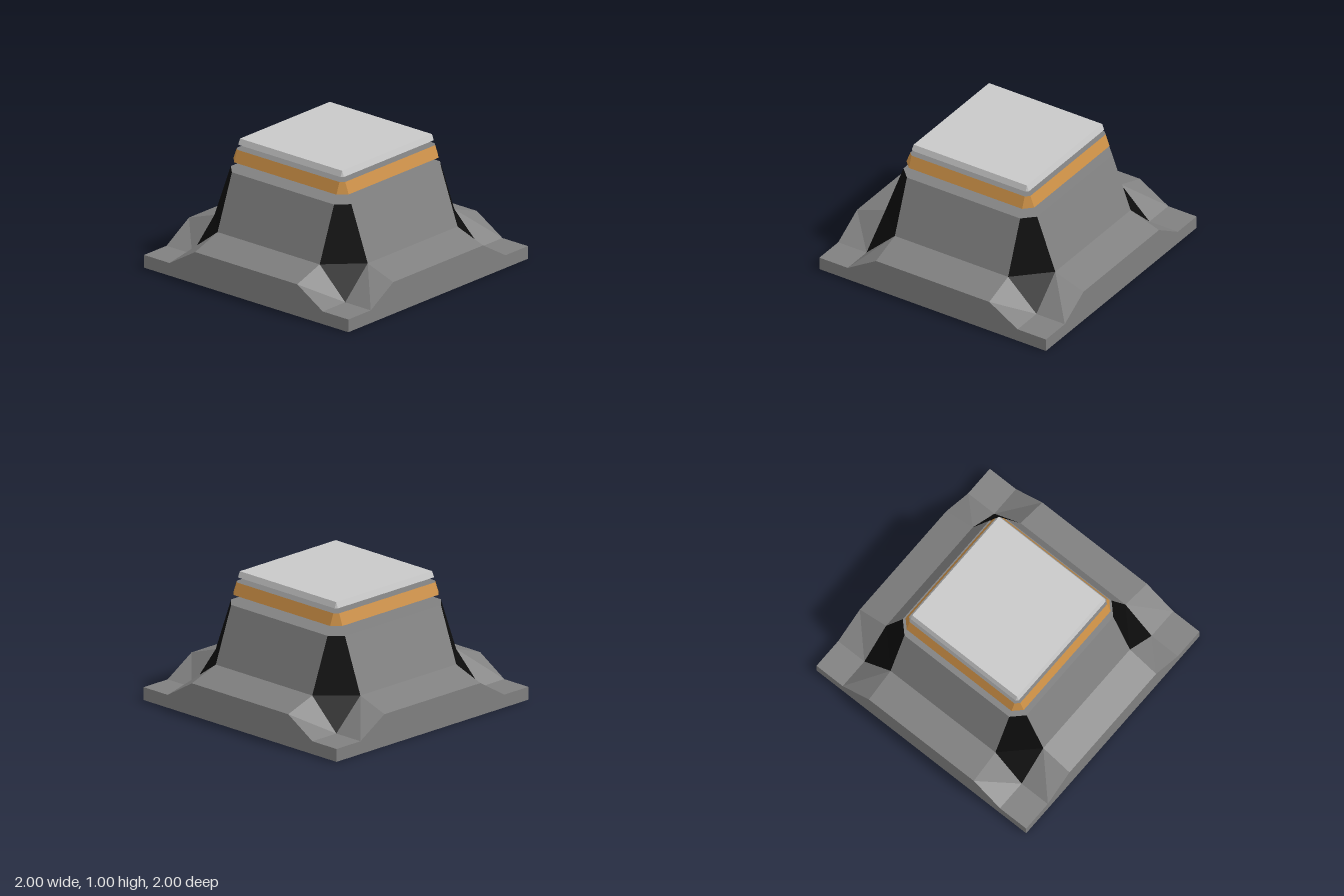
import * as THREE from 'three';

const material = (name, color) => {
  const m = new THREE.MeshStandardMaterial({ color, flatShading: true });
  m.name = name;
  return m;
};

// Half-width of the tapering tower at height y; it narrows to 0.5 at the top
const taper = (y) => 0.5 + (1 - y) * 0.376;

// Repeats one quarter's convex faces four times around the y axis
function fourSided(name, faces, mat) {
  const pos = [];
  for (let turn = 0; turn < 4; turn++) {
    const spin = ([x, y, z]) => {
      for (let i = 0; i < turn; i++) [x, z] = [z, -x];
      return [x, y, z];
    };
    for (const face of faces) {
      const p = face.map(spin);
      for (let i = 1; i < p.length - 1; i++) pos.push(...p[0], ...p[i], ...p[i + 1]);
    }
  }
  const geometry = new THREE.BufferGeometry();
  geometry.setAttribute('position', new THREE.Float32BufferAttribute(pos, 3));
  geometry.computeVertexNormals();
  const mesh = new THREE.Mesh(geometry, mat);
  mesh.name = name;
  return mesh;
}

// One quarter of a horizontal chamfered square
function capFaces(y, up) {
  const h = taper(y), c = [0, y, 0];
  const l = [-0.5, y, h], r = [0.5, y, h], e = [h, y, 0.5];
  return up ? [[l, r, c], [r, e, c]] : [[r, l, c], [e, r, c]];
}

// One quarter of a sloping chamfered band
function bandFaces(y0, y1) {
  const a = taper(y0), b = taper(y1);
  return [
    [[-0.5, y0, a], [0.5, y0, a], [0.5, y1, b], [-0.5, y1, b]],
    [[0.5, y0, a], [a, y0, 0.5], [b, y1, 0.5], [0.5, y1, b]],
  ];
}

export function createModel() {
  const grey = material('bodyGrey', 0x808080);
  const black = material('cornerBlack', 0x0c0c0c);
  const orange = material('bandOrange', 0xcc9046);
  const light = material('lidLightGrey', 0xc8c8c8);

  const group = new THREE.Group();
  group.name = 'platform';

  const low = 0.1, rim = 0.25, ledge = 0.335, top = 0.76;
  const t = taper(top);

  // Spreading foot with raised middles and low corner pads
  group.add(fourSided('foot', [
    [[-1, 0, 1], [1, 0, 1], [1, low, 1], [-1, low, 1]],
    [[-0.75, low, 1], [0.75, low, 1], [0.5, rim, 1], [-0.5, rim, 1]],
    [[-0.5, rim, 1], [0.5, rim, 1], [0.5, ledge, 0.75], [-0.5, ledge, 0.75]],
    [[0.5, rim, 1], [0.75, low, 1], [0.75, low, 0.75], [0.5, ledge, 0.75]],
    [[-0.75, low, 1], [-0.5, rim, 1], [-0.5, ledge, 0.75], [-0.75, low, 0.75]],
    [[0.75, low, 1], [1, low, 1], [1, low, 0.75], [0.75, low, 0.75]],
    [[1, 0, 1], [-1, 0, 1], [0, 0, 0]],
  ], grey));

  // Sloping tower walls and their flat top
  group.add(fourSided('tower', [
    [[-0.5, ledge, 0.75], [0.5, ledge, 0.75], [0.5, top, t], [-0.5, top, t]],
    ...capFaces(top, true),
  ], grey));

  // Dark corner recesses
  group.add(fourSided('cornerPanels', [
    [[0.5, ledge, 0.75], [0.75, ledge, 0.5], [t, top, 0.5], [0.5, top, t]],
    [[0.5, ledge, 0.75], [0.75, low, 0.75], [0.75, ledge, 0.5]],
  ], black));

  // Floating orange band with grey top and underside
  group.add(fourSided('band', bandFaces(0.83, 0.92), orange));
  group.add(fourSided('bandCaps', [...capFaces(0.92, true), ...capFaces(0.83, false)], grey));

  // Floating pale lid with grey underside
  group.add(fourSided('lid', [...bandFaces(0.955, 1), ...capFaces(1, true)], light));
  group.add(fourSided('lidUnderside', capFaces(0.955, false), grey));

  return group;
}
